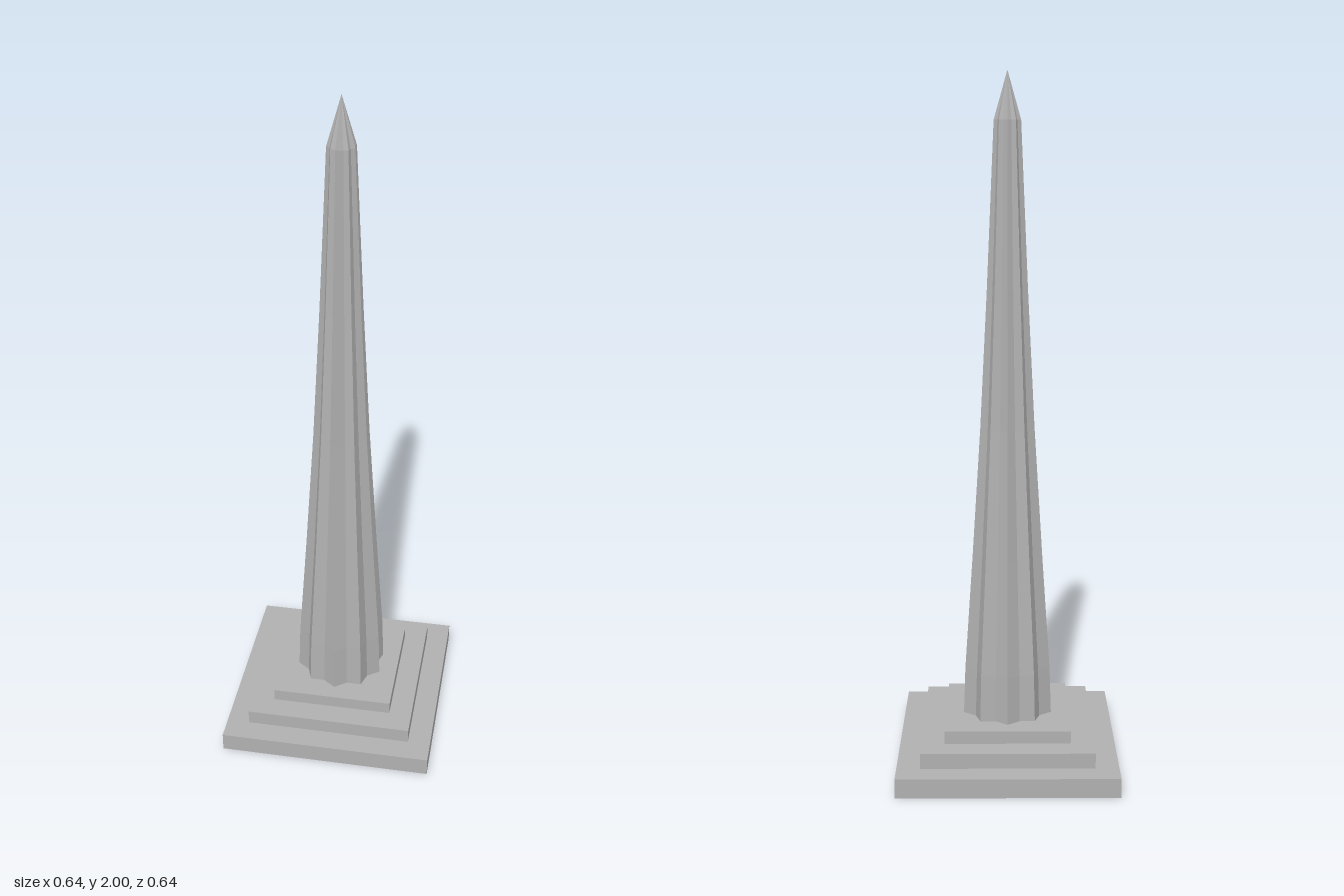
import * as THREE from 'three';

export function createModel() {
  const model = new THREE.Group();
  const stone = new THREE.MeshStandardMaterial({ color: 0xb0b0b0, flatShading: true });
  stone.name = 'stone grey';

  // Three square steps: half width, bottom, top
  const steps = [[0.318, 0, 0.057], [0.25, 0.057, 0.102], [0.182, 0.102, 0.14]];
  steps.forEach(([half, y0, y1], i) => {
    const step = new THREE.Mesh(new THREE.BoxGeometry(half * 2, y1 - y0, half * 2), stone);
    step.position.y = (y0 + y1) / 2;
    step.name = `baseStep${i + 1}`;
    model.add(step);
  });

  // Ten-pointed star section: a 20-sided lathe with every second column drawn in
  function starLathe(profile, name) {
    const points = profile.map(([r, y]) => new THREE.Vector2(r, y));
    const geometry = new THREE.LatheGeometry(points, 20);
    const pos = geometry.attributes.position;
    for (let i = 0; i < pos.count; i++) {
      if (Math.floor(i / points.length) % 2 === 1) {
        pos.setX(i, pos.getX(i) * 0.85);
        pos.setZ(i, pos.getZ(i) * 0.85);
      }
    }
    geometry.computeVertexNormals();
    const mesh = new THREE.Mesh(geometry, stone);
    mesh.name = name;
    model.add(mesh);
  }

  // Tapering shaft, nearly upright at its foot, and the pointed cap
  starLathe([[0.136, 0.14], [0.131, 0.28], [0.107, 0.62], [0.082, 1.0], [0.061, 1.4], [0.04, 1.865]], 'shaft');
  starLathe([[0.04, 1.865], [0, 2]], 'pointedCap');

  return model;
}
